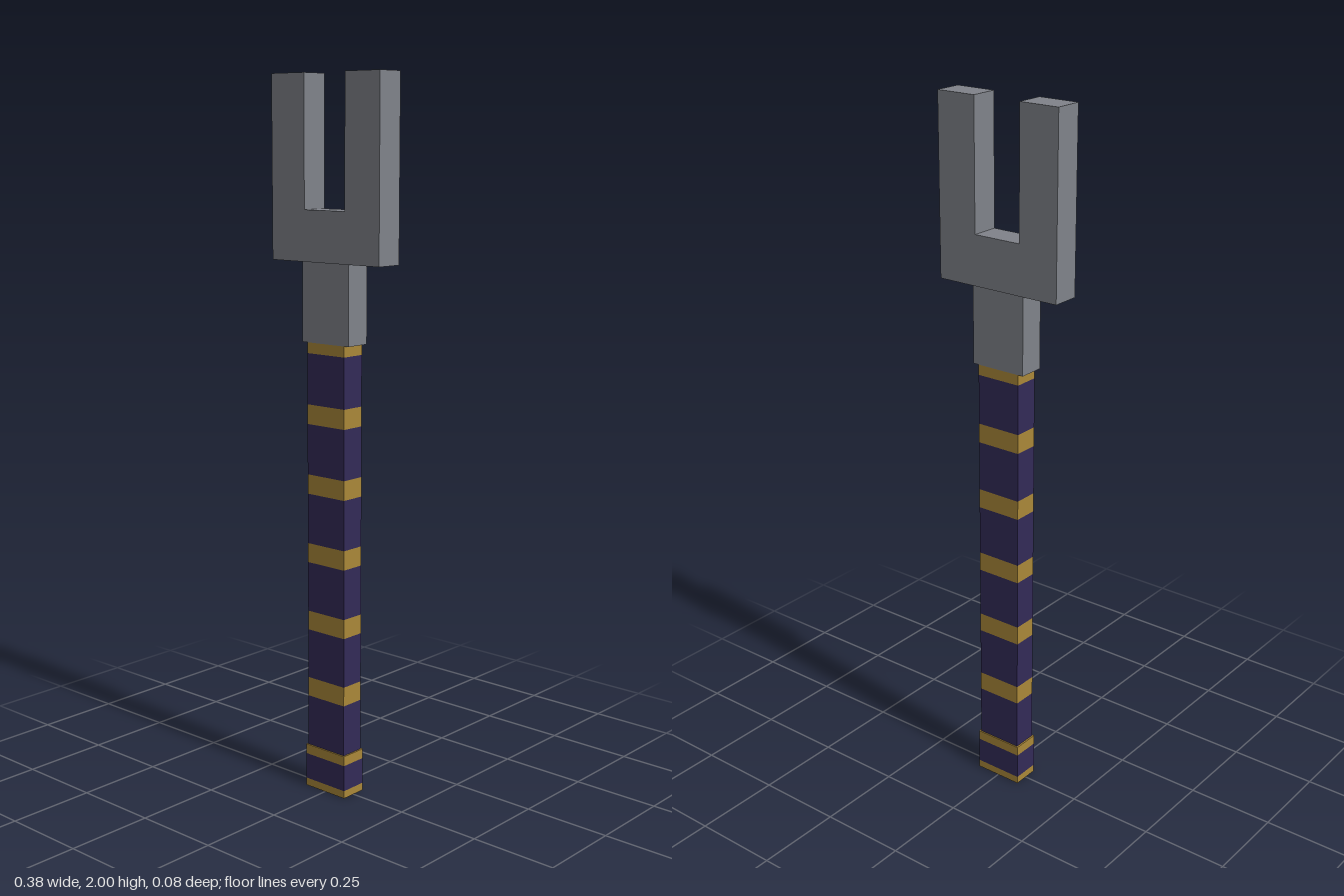
import * as THREE from 'three';

const steel = new THREE.MeshStandardMaterial({ name: 'steel grey', color: 0x80838a });
const gold = new THREE.MeshStandardMaterial({ name: 'gold', color: 0xaa8839 });
const navy = new THREE.MeshStandardMaterial({ name: 'dark violet', color: 0x332b58 });

export function createModel() {
  const model = new THREE.Group();
  model.name = 'twoProngedFork';

  // Box centred on the axis, between two heights
  const block = (parent, name, halfX, halfZ, y0, y1, material) => {
    const mesh = new THREE.Mesh(new THREE.BoxGeometry(halfX * 2, y1 - y0, halfZ * 2), material);
    mesh.position.y = (y0 + y1) / 2;
    mesh.name = name;
    parent.add(mesh);
  };

  // Pommel: gold rims above and below, dark underside
  const pommel = new THREE.Group();
  pommel.name = 'pommel';
  block(pommel, 'pommelLowerRim', 0.072, 0.04, 0, 0.022, [gold, gold, gold, navy, gold, gold]);
  block(pommel, 'pommelGrip', 0.072, 0.04, 0.022, 0.097, navy);
  block(pommel, 'pommelUpperRim', 0.072, 0.04, 0.097, 0.125, gold);
  model.add(pommel);

  // Shaft: dark wrap alternating with evenly spaced gold bands
  const shaft = new THREE.Group();
  shaft.name = 'shaft';
  let y = 0.125;
  for (let i = 0; i < 6; i++) {
    const bandStart = 0.272 + i * 0.1966;
    const bandEnd = Math.min(bandStart + 0.055, 1.285);
    block(shaft, 'shaftWrap', 0.067, 0.036, y, bandStart, navy);
    block(shaft, 'shaftBand', 0.067, 0.036, bandStart, bandEnd, gold);
    y = bandEnd;
  }
  model.add(shaft);

  // Neck joining shaft and fork
  block(model, 'neck', 0.083, 0.0375, 1.285, 1.503, steel);

  // Fork head: U-shaped plate with two square prongs
  const outline = new THREE.Shape([
    [-0.191, 1.503], [0.191, 1.503], [0.191, 2], [0.072, 2],
    [0.072, 1.642], [-0.072, 1.642], [-0.072, 2], [-0.191, 2],
  ].map(([px, py]) => new THREE.Vector2(px, py)));
  const forkGeometry = new THREE.ExtrudeGeometry(outline, { depth: 0.081, bevelEnabled: false });
  forkGeometry.translate(0, 0, -0.0405);
  const fork = new THREE.Mesh(forkGeometry, steel);
  fork.name = 'forkHead';
  model.add(fork);

  return model;
}
